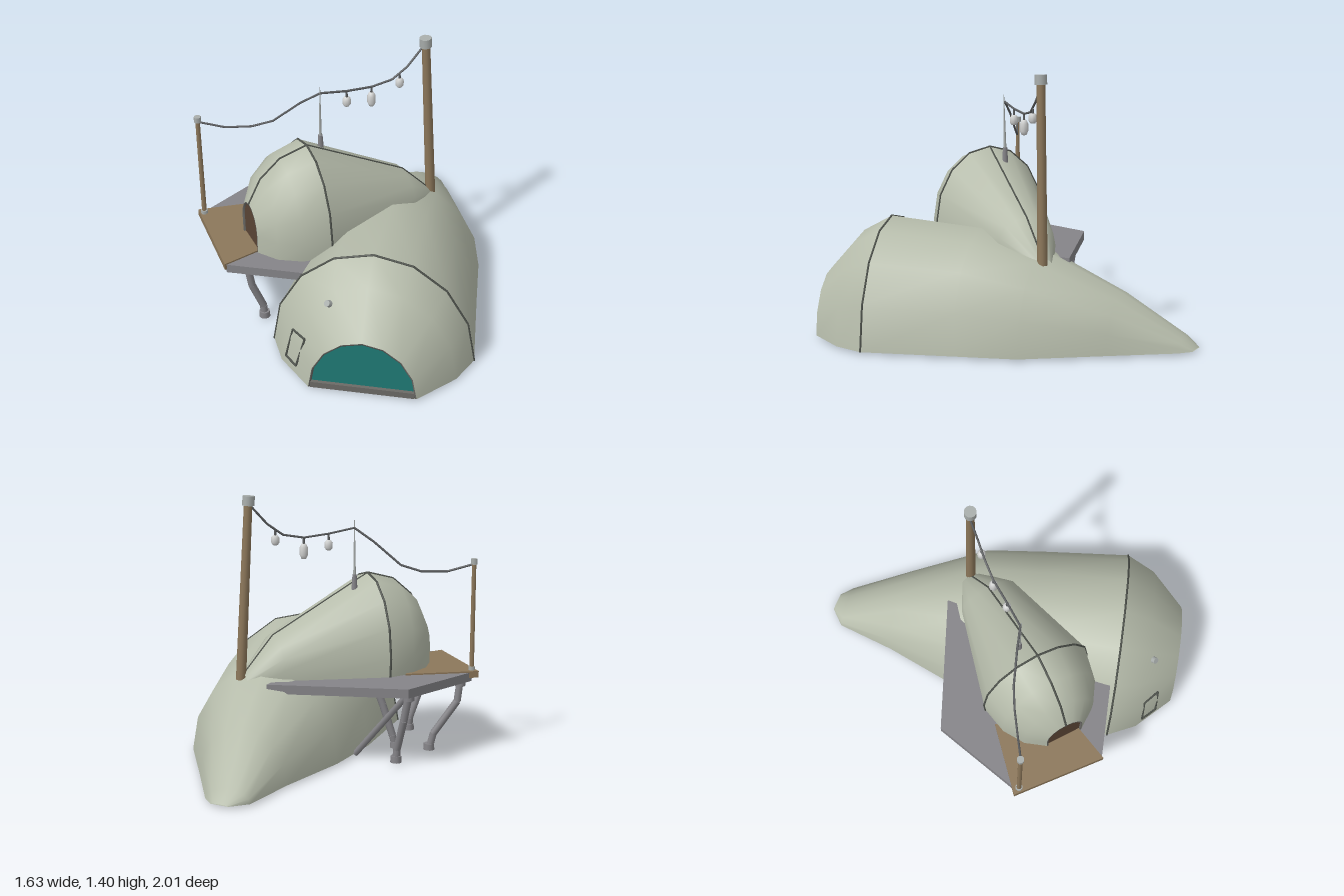
import * as THREE from 'three';

const mat = (name, color, side = THREE.FrontSide) => {
  const m = new THREE.MeshStandardMaterial({ color, side });
  m.name = name;
  return m;
};

// Arch cross-section: [x factor, sin factor, above the straight foot?]
const arch = (foot) => {
  const pts = [];
  if (foot) pts.push([0.97, 0, 0]);
  for (let i = 0; i <= 8; i++) {
    const a = (i / 8) * Math.PI;
    pts.push([Math.cos(a), Math.sin(a), 1]);
  }
  if (foot) pts.push([-0.97, 0, 0]);
  return pts;
};
const FLOOR = [[-1, 0, 0], [1, 0, 0]];

// Ring: centre x, z, turn about y, half width, arch height, base y, straight foot height
const ringPoints = ([x, z, turn, w, h, base = 0, foot = 0], section) =>
  section.map(([sx, sy, up]) => new THREE.Vector3(
    x + Math.cos(turn) * w * sx,
    base + foot * up + h * sy,
    z - Math.sin(turn) * w * sx));

function loft(rings, section) {
  const pos = [], idx = [], n = section.length;
  rings.forEach((r) => ringPoints(r, section).forEach((p) => pos.push(p.x, p.y, p.z)));
  for (let i = 0; i < rings.length - 1; i++) {
    for (let j = 0; j < n - 1; j++) {
      const a = i * n + j, b = a + n;
      idx.push(a, a + 1, b, a + 1, b + 1, b);
    }
  }
  const g = new THREE.BufferGeometry();
  g.setAttribute('position', new THREE.Float32BufferAttribute(pos, 3));
  g.setIndex(idx);
  g.computeVertexNormals();
  return g;
}

// Flat panel filling one ring
function panel([x, z, turn, w, h, base = 0, foot = 0], section) {
  const shape = new THREE.Shape(section.map(([sx, sy, up]) =>
    new THREE.Vector2(sx * w, base + foot * up + h * sy)));
  return new THREE.ShapeGeometry(shape).rotateY(turn).translate(x, 0, z);
}

// Level slab cut to a plan outline of [x, z] corners
function slab(corners, y0, y1) {
  const shape = new THREE.Shape(corners.map(([x, z]) => new THREE.Vector2(x, -z)));
  return new THREE.ExtrudeGeometry(shape, { depth: y1 - y0, bevelEnabled: false })
    .rotateX(-Math.PI / 2).translate(0, y0, 0);
}

export function createModel() {
  const model = new THREE.Group();
  model.name = 'shellDwelling';
  const shell = mat('pale sage shell', 0xb6bcab, THREE.DoubleSide);
  const seam = mat('dark seam', 0x50544e);
  const reveal = mat('opening rim', 0x6b6a66, THREE.DoubleSide);
  const glass = mat('teal glass', 0x1f7a75);
  const doorBrown = mat('dark brown door', 0x5a4434);
  const stone = mat('grey platform', 0x858488);
  const wood = mat('brown wood', 0x8c775a);
  const metal = mat('light metal', 0xa9aeac);
  const lamp = mat('lamp white', 0xd2d3d2);
  const wire = mat('dark wire', 0x5c5e60);

  const add = (name, geo, material, parent = model) => {
    const m = new THREE.Mesh(geo, material);
    m.name = name;
    parent.add(m);
    return m;
  };
  const group = (name) => {
    const g = new THREE.Group();
    g.name = name;
    model.add(g);
    return g;
  };
  const V = (p) => (p.isVector3 ? p : new THREE.Vector3(...p));
  const rod = (name, from, to, r0, r1, material, parent = model, sides = 8) => {
    const a = V(from), b = V(to), d = b.clone().sub(a);
    const m = add(name, new THREE.CylinderGeometry(r1, r0, d.length(), sides), material, parent);
    m.position.copy(a).addScaledVector(d, 0.5);
    m.quaternion.setFromUnitVectors(new THREE.Vector3(0, 1, 0), d.normalize());
    return m;
  };
  const chain = (name, pts, r, material, parent, sides = 5) => {
    for (let i = 0; i < pts.length - 1; i++) rod(name, pts[i], pts[i + 1], r, r, material, parent, sides);
  };

  // Main shell: long tail, front dome, flat underside
  const hullArch = arch(false);
  const hullRing = (t, s) => [0.3 + 0.25 * t, 0.61 + 0.968 * t, 0.255, 0.525 * s, 0.61 * s];
  const tail = [
    [-0.05, -1.0, 0, 0.05, 0.004], [-0.055, -0.93, 0.1, 0.12, 0.06],
    [0.04, -0.62, 0.1, 0.24, 0.275], [0.14, -0.22, 0.15, 0.41, 0.475],
    [0.19, 0.12, 0.2, 0.47, 0.568], hullRing(0, 1),
  ];
  const dome = [hullRing(0, 1), hullRing(0.156, 0.86), hullRing(0.337, 0.525)];
  const hull = group('mainShell');
  add('shellTail', loft(tail, hullArch), shell, hull);
  add('shellDome', loft(dome, hullArch), shell, hull);
  add('shellUnderside', loft([...tail, ...dome.slice(1)], FLOOR), shell, hull);
  chain('shellSeam', ringPoints(hullRing(0, 1), hullArch), 0.006, seam, hull);

  // Large front window with its rim and sill
  add('windowRim', loft([hullRing(0.337, 0.525), hullRing(0.337, 0.512), hullRing(0.318, 0.505)], hullArch), reveal, hull);
  add('frontWindow', panel(hullRing(0.32, 0.515), hullArch), glass, hull);
  const [sx, sz, turn] = hullRing(0.327, 1);
  const sill = add('windowSill', new THREE.BoxGeometry(0.53, 0.034, 0.022), reveal, hull);
  sill.position.set(sx, 0.017, sz);
  sill.rotation.y = turn;

  // Hatch outline and round port on the dome
  const onDome = (u, y) => {
    const s = 0.86 - 0.335 * u;
    const [x, z, a, w, h] = hullRing(0.156 + 0.181 * u, s);
    const c = -Math.sqrt(1 - (y / h) ** 2) * w;
    return new THREE.Vector3(x + Math.cos(a) * c, y, z - Math.sin(a) * c);
  };
  const corners = [onDome(0.16, 0.055), onDome(0.54, 0.055), onDome(0.5, 0.228), onDome(0.13, 0.228)];
  chain('hatchFrame', [...corners, corners[0]], 0.006, seam, hull);
  const port = onDome(0.2, 0.43);
  const out = new THREE.Vector3(-0.25, 0.55, 0.75).normalize();
  rod('roundPort', port.clone().addScaledVector(out, -0.02), port.clone().addScaledVector(out, 0.018), 0.02, 0.017, metal, hull, 10);

  // Upper pod
  const podArch = arch(true);
  const podRing = (t, s) => [-0.215 - 0.65 * t, 0.3 + 0.76 * t, -0.707, 0.31 * s, 0.41 * s, 0.41, 0.12];
  const podTail = [[0.235, -0.265, -0.68, 0.055, 0.04, 0.38, 0.03], [0.14, -0.12, -0.68, 0.165, 0.16, 0.4, 0.08], podRing(0, 1)];
  const podFront = [podRing(0, 1), podRing(0.15, 0.9), podRing(0.26, 0.67), podRing(0.33, 0.34)];
  const pod = group('upperPod');
  add('podTail', loft(podTail, podArch), shell, pod);
  add('podFront', loft(podFront, podArch), shell, pod);
  chain('podSeam', ringPoints(podRing(0, 1), podArch), 0.006, seam, pod);
  const ridge = (rings) => rings.map((r) => new THREE.Vector3(r[0], r[4] + r[5] + r[6], r[1]));
  chain('podFrontRidge', ridge(podFront), 0.006, seam, pod);
  chain('podTailRidge', ridge(podTail), 0.005, seam, pod);
  add('doorRim', loft([podRing(0.33, 0.34), podRing(0.33, 0.315), podRing(0.318, 0.31)], podArch), reveal, pod);
  add('podDoor', panel(podRing(0.32, 0.325), podArch), doorBrown, pod);

  // Platform and wooden porch
  const base = group('platform');
  add('platformSlab', slab([[0.06, -0.33], [-0.63, -0.08], [-0.785, 0.41], [-0.45, 0.775], [0.08, 0.64]], 0.38, 0.428), stone, base);
  add('porchDeck', slab([[-0.82, 0.42], [-0.455, 0.785], [-0.35, 0.6], [-0.5, 0.18]], 0.4, 0.436), wood, base);

  // Bent legs with collars and feet
  const legs = [
    [[-0.73, 0.38, 0.38], [-0.72, 0.27, 0.37], [-0.61, 0.09, 0.31], [-0.59, 0, 0.3]],
    [[-0.61, 0.38, -0.03], [-0.58, 0.24, -0.02], [-0.53, 0.07, 0.01], [-0.525, 0, 0.01]],
    [[-0.4, 0.38, 0.66], [-0.385, 0.22, 0.64], [-0.345, 0.07, 0.6], [-0.34, 0, 0.6]],
    [[-0.3, 0.38, 0.2], [-0.35, 0.24, 0.22], [-0.4, 0.07, 0.24], [-0.415, 0, 0.25]],
  ];
  legs.forEach((pts) => {
    const leg = group('supportLeg');
    chain('legSegment', pts, 0.02, stone, leg, 10);
    const [t, f] = [pts[0], pts[3]];
    rod('legCollar', [t[0], 0.355, t[2]], t, 0.029, 0.029, stone, leg, 10);
    rod('legFoot', f, [f[0], 0.035, f[2]], 0.03, 0.028, stone, leg, 10);
  });
  rod('diagonalBrace', [-0.59, 0.37, -0.02], [-0.27, 0, 0.05], 0.017, 0.017, stone);

  // Tall mast, porch post and roof spike
  rod('tallMast', [0.248, 0.42, -0.27], [0.212, 1.36, -0.24], 0.027, 0.022, wood, model, 12);
  rod('mastCap', [0.212, 1.34, -0.24], [0.21, 1.39, -0.238], 0.032, 0.032, metal, model, 12);
  rod('porchPost', [-0.775, 0.42, 0.43], [-0.775, 1.03, 0.43], 0.013, 0.012, wood);
  rod('postCap', [-0.775, 1.01, 0.43], [-0.775, 1.04, 0.43], 0.019, 0.019, metal);
  rod('postFoot', [-0.775, 0.43, 0.43], [-0.775, 0.455, 0.43], 0.019, 0.019, metal);
  rod('spikeSocket', [-0.19, 0.85, 0.19], [-0.19, 0.945, 0.19], 0.018, 0.012, stone);
  rod('roofSpike', [-0.19, 0.93, 0.19], [-0.185, 1.235, 0.195], 0.008, 0.002, metal);

  // Hanging cable
  chain('cable', [
    [-0.77, 1.01, 0.43], [-0.65, 0.972, 0.365], [-0.53, 0.972, 0.3], [-0.43, 1.005, 0.255],
    [-0.29, 1.125, 0.215], [-0.187, 1.195, 0.19], [-0.09, 1.172, 0.08], [0, 1.16, -0.03],
    [0.08, 1.18, -0.11], [0.14, 1.24, -0.17], [0.2, 1.34, -0.24],
  ], 0.006, wire, model, 6);

  // Lanterns: x, z, cable height, body top, body bottom
  [[-0.09, 0.08, 1.172, 1.138, 1.085], [0, -0.03, 1.16, 1.128, 1.048], [0.11, -0.14, 1.21, 1.18, 1.128]].forEach(([x, z, y, top, bottom]) => {
    const g = group('lantern');
    rod('lanternHanger', [x, top - 0.005, z], [x, y, z], 0.007, 0.005, wire, g, 6);
    const h = top - bottom;
    const profile = [[0, 0], [0.013, 0], [0.022, 0.25], [0.022, 0.75], [0.012, 1], [0, 1]]
      .map(([r, k]) => new THREE.Vector2(r, k * h));
    add('lanternBody', new THREE.LatheGeometry(profile, 10), lamp, g).position.set(x, bottom, z);
  });
  return model;
}
